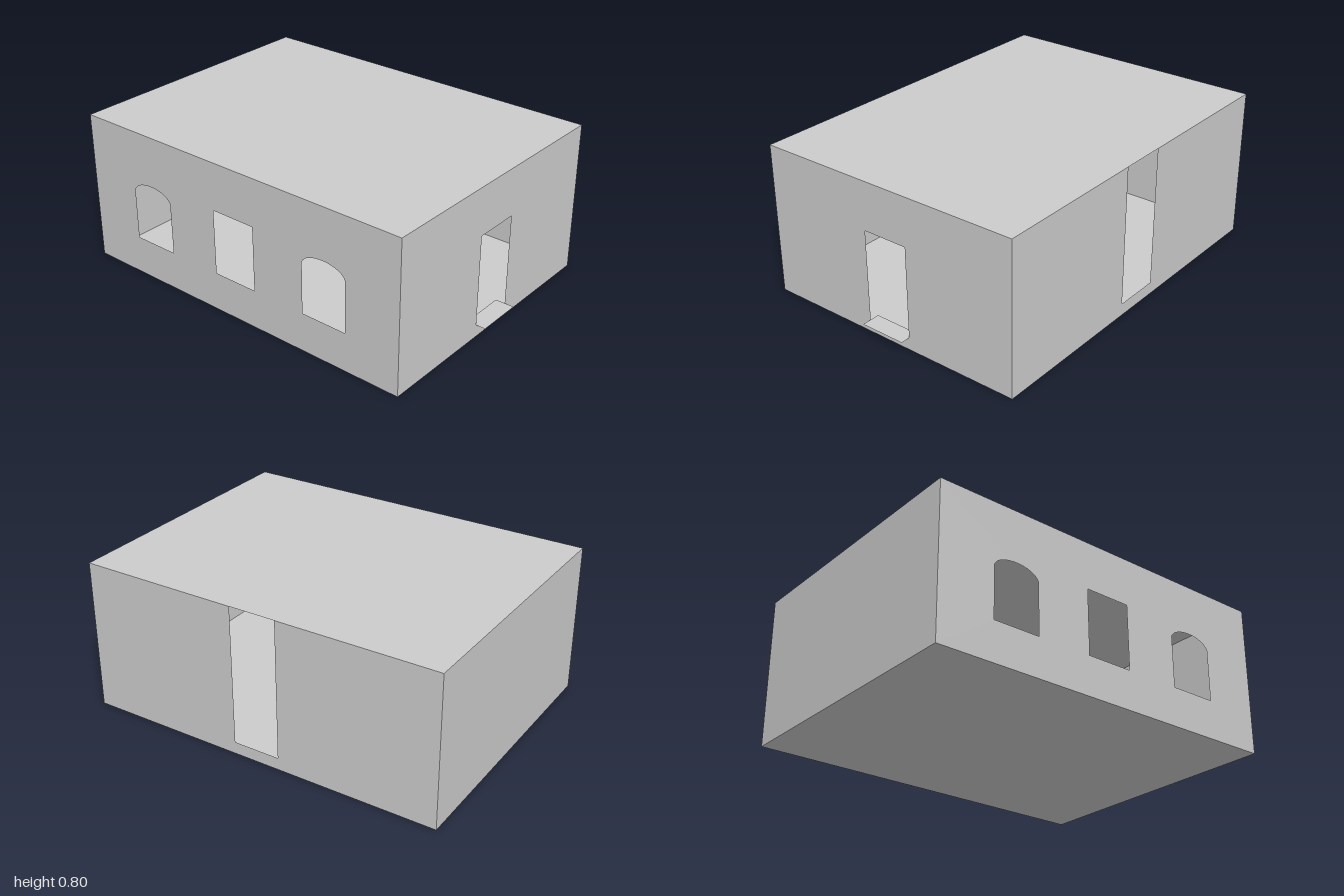
import * as THREE from 'three';

const X0 = -1, X1 = 0.95, Z = 0.73, H = 0.8, SILL = 0.065;

const material = new THREE.MeshStandardMaterial({ color: 0xcccccc, side: THREE.DoubleSide });

function outline(points, Type = THREE.Shape) {
  return new Type(points.map(([x, y]) => new THREE.Vector2(x, y)));
}

function rect(x0, y0, x1, y1, Type) {
  return outline([[x0, y0], [x1, y0], [x1, y1], [x0, y1]], Type);
}

// Window opening with a low curved head
function archedHole(x0, x1) {
  const hole = new THREE.Path();
  hole.moveTo(x0, 0.205);
  hole.lineTo(x1, 0.205);
  hole.lineTo(x1, 0.477);
  hole.bezierCurveTo(x1 - 0.025, 0.547, x0 + 0.025, 0.547, x0, 0.477);
  hole.closePath();
  return hole;
}

export function createModel() {
  const group = new THREE.Group();

  // Thin sheet from a shape, turned and moved into place
  const addSheet = (name, shape, position, rotation = [0, 0, 0]) => {
    const mesh = new THREE.Mesh(new THREE.ShapeGeometry(shape, 16), material);
    mesh.name = name;
    mesh.position.set(...position);
    mesh.rotation.set(...rotation);
    group.add(mesh);
  };

  // Front wall: square window between two arched ones
  const front = rect(X0, 0, X1, H);
  front.holes.push(
    archedHole(-0.70, -0.45),
    rect(-0.15, 0.205, 0.10, 0.548, THREE.Path),
    archedHole(0.40, 0.65)
  );
  addSheet('frontWall', front, [0, 0, Z]);

  // Back wall: tall opening that runs up to the roof
  const back = outline([
    [X0, 0], [X1, 0], [X1, H], [0.10, H], [0.10, SILL], [-0.15, SILL], [-0.15, H], [X0, H]
  ]);
  addSheet('backWall', back, [0, 0, -Z]);

  // Side walls, with the doorway on the left one
  const doorWall = rect(-Z, 0, Z, H);
  doorWall.holes.push(rect(-0.123, SILL, 0.123, 0.545, THREE.Path));
  addSheet('doorWall', doorWall, [X1, 0, 0], [0, Math.PI / 2, 0]);
  addSheet('plainWall', rect(-Z, 0, Z, H), [X0, 0, 0], [0, -Math.PI / 2, 0]);

  // Floor and flat roof
  addSheet('floor', rect(X0, -Z, X1, Z), [0, 0, 0], [Math.PI / 2, 0, 0]);
  addSheet('roof', rect(X0, -Z, X1, Z), [0, H, 0], [-Math.PI / 2, 0, 0]);

  // Thin threshold that sticks out of the doorway
  addSheet('doorThreshold', rect(0.90, -0.123, 1, 0.123), [0, SILL, 0], [-Math.PI / 2, 0, 0]);

  return group;
}
